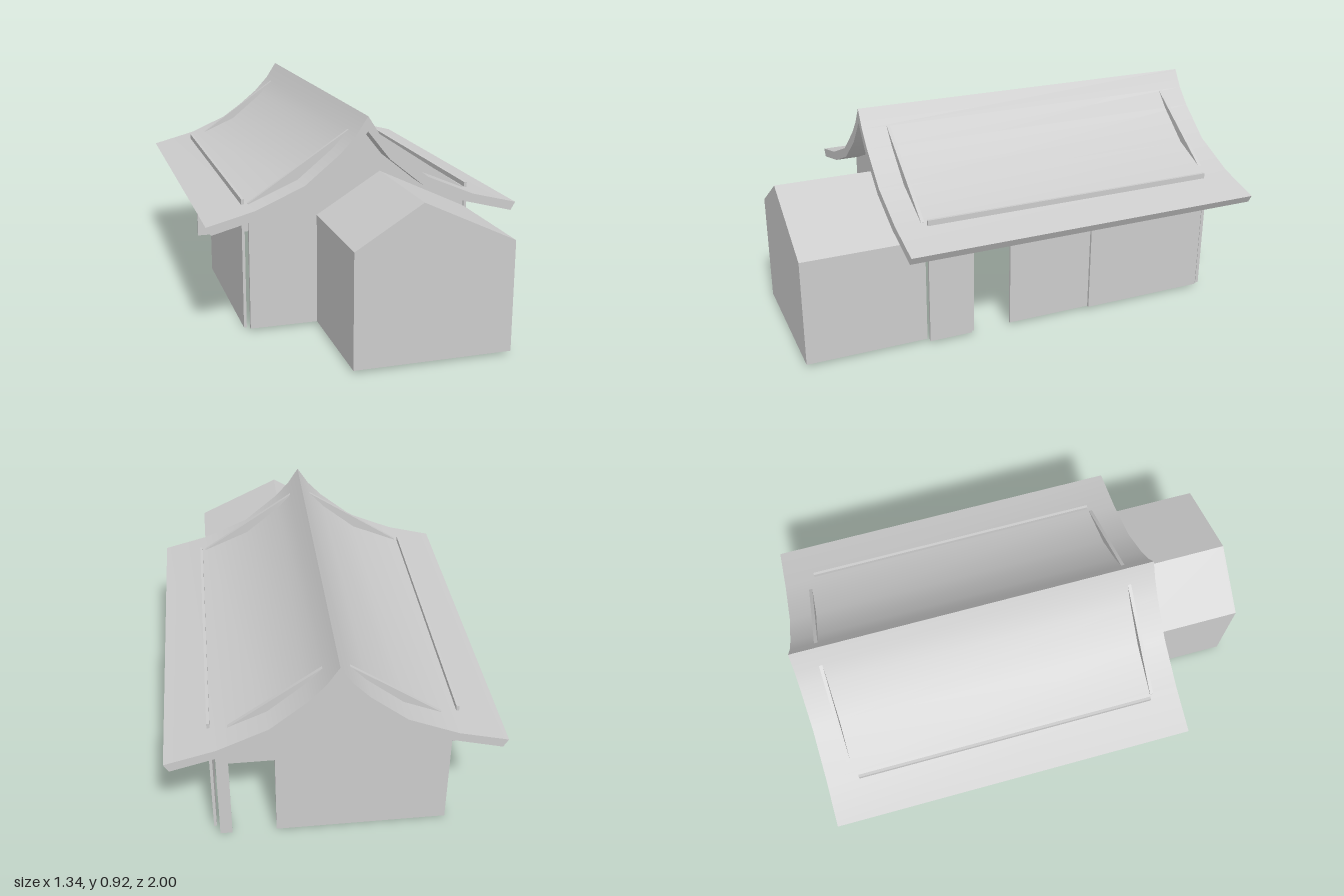
import * as THREE from 'three';
import { toCreasedNormals } from 'three/addons/utils/BufferGeometryUtils.js';

const material = new THREE.MeshStandardMaterial({ color: 0xcccccc, side: THREE.DoubleSide });

const outline = (points) => new THREE.Shape(points.map(([x, y]) => new THREE.Vector2(x, y)));

// Slab drawn in x,y and extruded between two z positions
function slab(name, shape, z0, z1, crease = 0.1) {
  let geometry = new THREE.ExtrudeGeometry(shape, { depth: z1 - z0, bevelEnabled: false });
  geometry = toCreasedNormals(geometry, crease);
  geometry.translate(0, 0, z0);
  const mesh = new THREE.Mesh(geometry, material);
  mesh.name = name;
  return mesh;
}

// Slab drawn in z,y and extruded between two x positions
function sideSlab(name, points, x0, x1) {
  const mesh = slab(name, outline(points), 0, x1 - x0);
  mesh.geometry.rotateY(-Math.PI / 2).translate(x1, 0, 0);
  return mesh;
}

const mirror = (points) => points.map(([x, y]) => [-x, y]).reverse();

export function createModel() {
  const house = new THREE.Group();
  house.name = 'house';

  // Curved roof: one constant section along z
  const top = [[0.05, 0.838], [0.115, 0.768], [0.265, 0.645], [0.47, 0.557], [0.67, 0.505]];
  const under = [[0.65, 0.47], [0.435, 0.527], [0.245, 0.61], [0.097, 0.73]];
  const roof = outline([[0, 0.915], ...top, ...under, [0, 0.852], ...mirror(under), ...mirror(top)]);
  house.add(slab('roof', roof, -1, 0.6, 0.45));

  // Front gable wall, cut away where the annex joins
  house.add(slab('frontWall', outline([
    [-0.475, 0.01], [-0.185, 0.01], [-0.185, 0.487], [0.09, 0.657], [0.475, 0.475],
    [0.475, 0.557], [0, 0.873], [-0.475, 0.56],
  ]), 0.475, 0.49));

  // Back gable wall with a doorway
  house.add(slab('backWall', outline([
    [-0.475, 0], [0.24, 0], [0.24, 0.39], [0.425, 0.39], [0.425, 0], [0.475, 0],
    [0.475, 0.54], [0, 0.872], [-0.475, 0.54],
  ]), -0.895, -0.88));

  // Side walls, each with an opening
  house.add(sideSlab('leftWall', [
    [-0.86, 0.01], [-0.29, 0.01], [-0.29, 0.39], [0.28, 0.39], [0.28, 0.01],
    [0.47, 0.01], [0.47, 0.573], [-0.86, 0.573],
  ], 0.488, 0.5));
  house.add(sideSlab('rightWall', [
    [-0.3, 0.01], [0.47, 0.01], [0.47, 0.573], [-0.86, 0.573], [-0.86, 0.39], [-0.3, 0.39],
  ], -0.5, -0.488));

  // Sliding door and jamb in the left opening
  for (const [name, z0, z1] of [['slidingDoor', -0.29, 0.095], ['doorJamb', 0.265, 0.28]]) {
    house.add(sideSlab(name, [[z0, 0.01], [z1, 0.01], [z1, 0.39], [z0, 0.39]], 0.476, 0.488));
  }

  // Hollow annex, open towards the house
  const annexOutline = [[-0.185, 0.01], [0.475, 0.01], [0.475, 0.475], [0.09, 0.657], [-0.185, 0.487]];
  const shell = outline(annexOutline);
  shell.holes.push(outline([
    [-0.179, 0.016], [0.469, 0.016], [0.469, 0.471], [0.09, 0.65], [-0.179, 0.483],
  ]));
  const annex = new THREE.Group();
  annex.name = 'annex';
  annex.add(slab('annexShell', shell, 0.475, 0.994));
  annex.add(slab('annexFront', outline(annexOutline), 0.994, 1));
  house.add(annex);

  return house;
}
